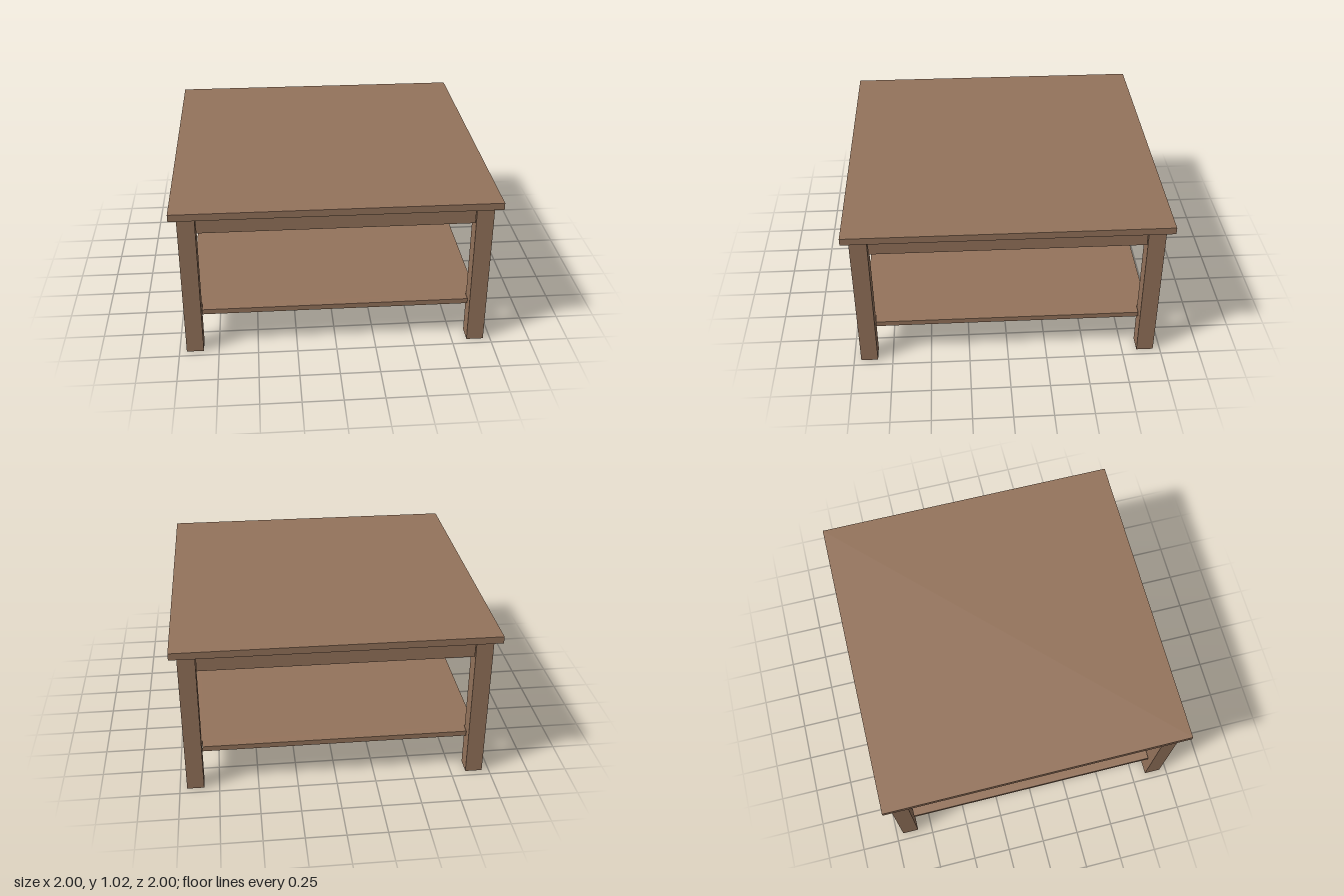
import * as THREE from 'three';

export function createModel() {
  const table = new THREE.Group();
  table.name = 'coffeeTable';

  const wood = new THREE.MeshStandardMaterial({ color: 0x94735b });
  wood.name = 'brown wood';

  // Box given by its size, centre in plan and bottom height
  function board(name, w, h, d, x, bottom, z) {
    const mesh = new THREE.Mesh(new THREE.BoxGeometry(w, h, d), wood);
    mesh.name = name;
    mesh.position.set(x, bottom + h / 2, z);
    table.add(mesh);
  }

  const legSize = 0.108, legCentre = 0.901, topBottom = 0.972;
  const railLength = 1.686;

  // Square tabletop
  board('tabletop', 2, 0.045, 2, 0, topBottom, 0);

  // Four square legs
  for (const sx of [-1, 1])
    for (const sz of [-1, 1])
      board('leg', legSize, topBottom, legSize, sx * legCentre, 0, sz * legCentre);

  // Lower shelf panel, its corners meeting the legs
  board('shelfPanel', 1.692, 0.034, 1.692, 0, 0.25, 0);

  // Aprons under the top and edge strips of the shelf, between the legs
  for (const s of [-1, 1]) {
    board('apron', railLength, 0.112, 0.036, 0, 0.86, s * 0.932);
    board('apron', 0.036, 0.112, railLength, s * 0.932, 0.86, 0);
    board('shelfEdge', railLength, 0.034, 0.064, 0, 0.25, s * 0.878);
    board('shelfEdge', 0.064, 0.034, railLength, s * 0.878, 0.25, 0);
  }

  return table;
}
